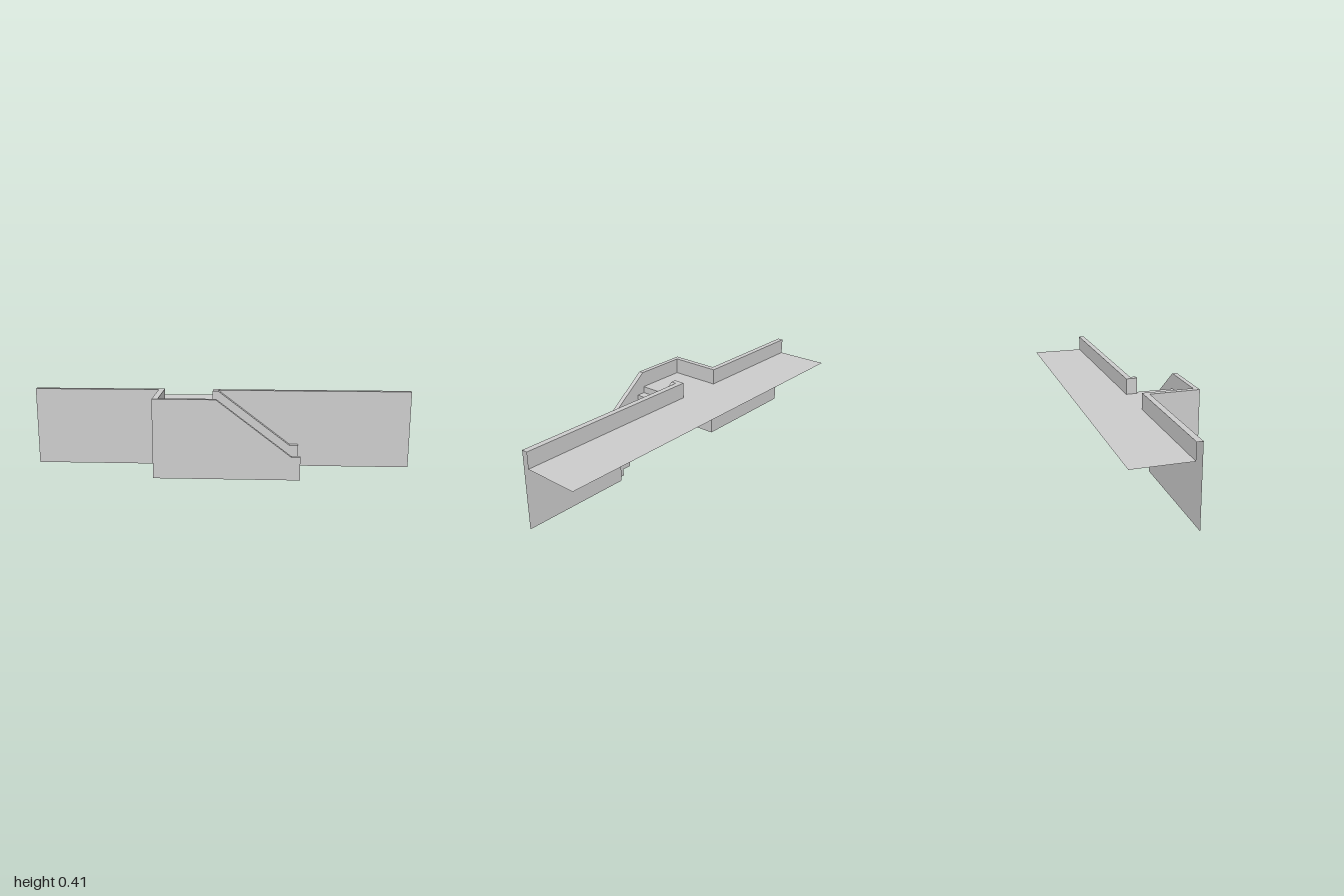
import * as THREE from 'three';

const material = new THREE.MeshStandardMaterial({ color: 0xcccccc, side: THREE.DoubleSide, flatShading: true });

const TOP = 0.41, DECK = 0.325;            // parapet top and deck level
const STEPS = 9, TREAD = 0.048, STAIR_X = -0.02;
const RISE = DECK / STEPS;

// Flat outline as a geometry facing +z
function outline(points) {
  return new THREE.ShapeGeometry(new THREE.Shape(points.map(([x, y]) => new THREE.Vector2(x, y))));
}

// Upright sheet in an x-y plane
function upright(points, z, facesBack = false) {
  const g = facesBack
    ? outline(points.map(([x, y]) => [-x, y])).rotateY(Math.PI)
    : outline(points);
  return g.translate(0, 0, z);
}

// Level sheet from x-z points, facing up
function level(points, y) {
  return outline(points.map(([x, z]) => [x, -z])).rotateX(-Math.PI / 2).translate(0, y, 0);
}

// One quad per segment of a path; corners(a, b) gives its four corners
function strip(path, corners) {
  const pos = [];
  for (let i = 0; i + 1 < path.length; i++) {
    const [p, q, r, s] = corners(path[i], path[i + 1]);
    pos.push(...p, ...q, ...r, ...p, ...r, ...s);
  }
  const g = new THREE.BufferGeometry();
  g.setAttribute('position', new THREE.Float32BufferAttribute(pos, 3));
  g.computeVertexNormals();
  return g;
}

// Vertical faces along an x-z path
const fence = (path, y0, y1) => strip(path, (a, b) => [
  [a[0], y0, a[1]], [b[0], y0, b[1]], [b[0], y1, b[1]], [a[0], y1, a[1]]]);

// An x-y profile swept across z
const sweep = (path, z0, z1) => strip(path, (a, b) => [
  [a[0], a[1], z1], [b[0], b[1], z1], [b[0], b[1], z0], [a[0], a[1], z0]]);

export function createModel() {
  const group = new THREE.Group();
  const add = (name, geometry) => {
    const mesh = new THREE.Mesh(geometry, material);
    mesh.name = name;
    group.add(mesh);
  };

  // Sloping rail top with its short level end and end face
  const rail = [[-0.015, TOP], [0.365, 0.12], [0.41, 0.12], [0.41, 0]];

  // Zigzag of risers and treads, from the landing down
  const zigzag = [];
  for (let i = 0; i < STEPS; i++) {
    const x = STAIR_X + i * TREAD;
    zigzag.push([x, DECK - i * RISE], [x, DECK - (i + 1) * RISE]);
  }

  // Walkway and landing
  add('deck', level([[-1, -0.295], [1, -0.295], [1, -0.005], [-0.045, -0.005], [-0.045, 0.055],
    [STAIR_X, 0.055], [STAIR_X, 0.265], [-0.305, 0.265], [-0.305, -0.005], [-1, -0.005]], DECK));

  // Stair flight
  add('stairs', sweep(zigzag, 0.055, 0.265));

  // Left wall, landing side and landing front
  add('leftWall', fence([[-1, 0.025], [-0.335, 0.025], [-0.335, 0.29]], 0, TOP));
  add('landingFrontWall', upright([[-0.335, 0], [0.41, 0], [0.41, 0.12], [0.365, 0.12],
    [-0.015, TOP], [-0.335, TOP]], 0.29));
  add('leftParapetInside', fence([[-0.305, 0.265], [-0.305, -0.005], [-1, -0.005]], DECK, TOP));
  add('leftCoping', level([[-1, -0.005], [-0.305, -0.005], [-0.305, 0.265], [-0.015, 0.265],
    [-0.015, 0.29], [-0.335, 0.29], [-0.335, 0.025], [-1, 0.025]], TOP));

  // Right wall, cut away along the stair rail
  add('rightWall', upright([...rail, [1, 0], [1, TOP]], 0.025));
  add('rightParapetInside', fence([[1, -0.005], [-0.045, -0.005], [-0.045, 0.055]], DECK, TOP));
  add('rightCoping', level([[-0.045, -0.005], [1, -0.005], [1, 0.025], [-0.015, 0.025],
    [-0.015, 0.055], [-0.045, 0.055]], TOP));

  // Stair rails: stair-side faces following the steps, and their caps
  const railSide = (x) => [[x, TOP], ...rail, ...[...zigzag].reverse(), [x, DECK]];
  add('outerRailSide', upright(railSide(-0.305), 0.265, true));
  add('innerRailSide', upright(railSide(-0.045), 0.055));
  add('outerRailCap', sweep(rail, 0.265, 0.29));
  add('innerRailCap', sweep(rail, 0.025, 0.055));

  return group;
}
